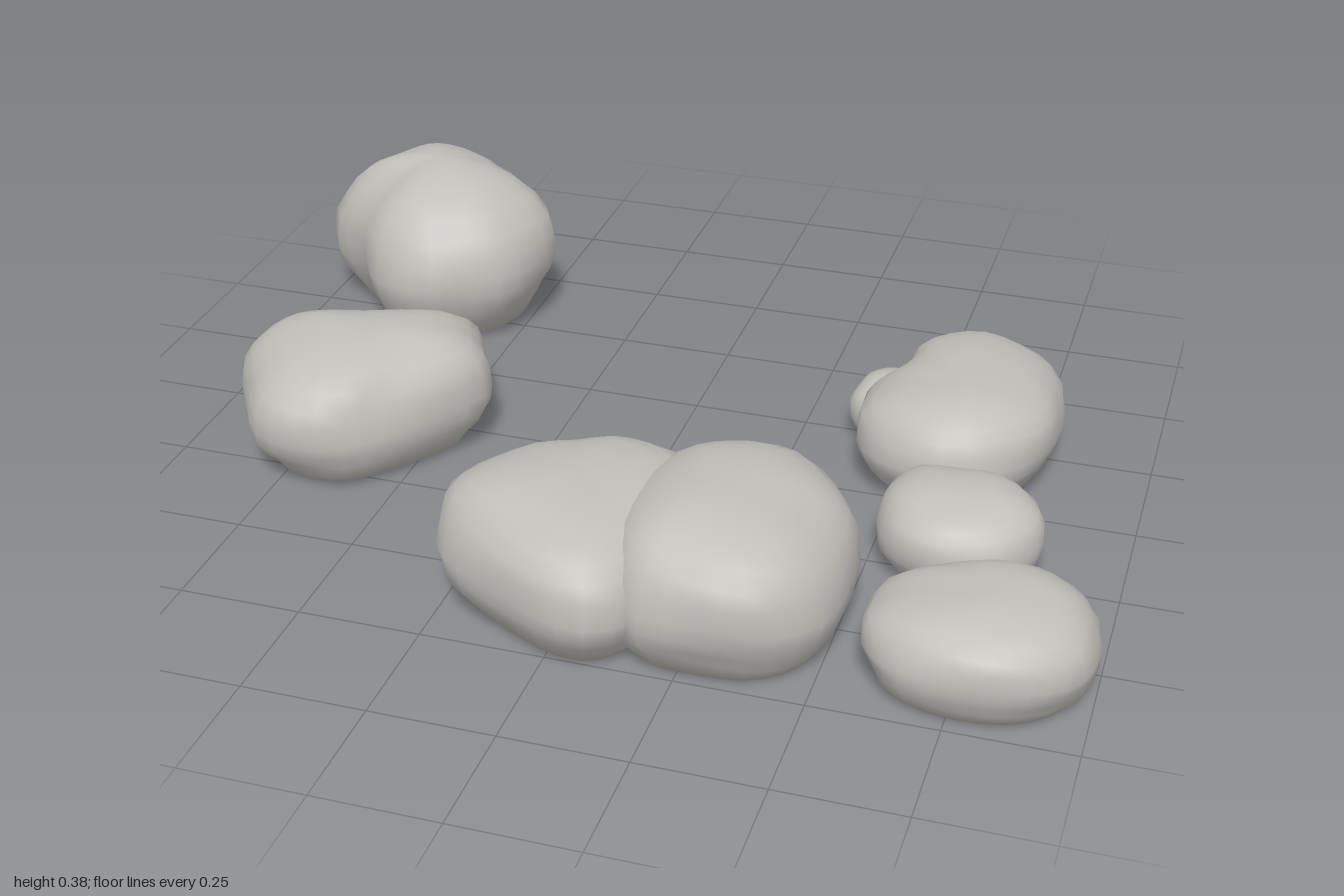
import * as THREE from 'three';

const stone = new THREE.MeshStandardMaterial({ color: 0xc0beb9 });
stone.name = 'paleStone';

const SEG = 32;          // points round each ring
const LOW = 4, HIGH = 7; // rings below and above the widest level
const FLOOR = 0.006;

// A boulder lofted from its plan outline [x, z] (clockwise seen from above).
// peak: [x, y, z] of the crown, mid: height of the widest level,
// power: squareness of the crown, foot: size of the flat base.
function boulder(name, outline, peak, mid, power, foot, seed) {
  const curve = new THREE.CatmullRomCurve3(
    outline.map(([x, z]) => new THREE.Vector3(x, 0, z)), true, 'centripetal');
  const plan = curve.getSpacedPoints(SEG).slice(0, SEG);
  const centre = plan.reduce((s, p) => s.add(p), new THREE.Vector3()).divideScalar(SEG);
  const crown = new THREE.Vector3(peak[0], 0, peak[2]);

  // Level table: scale of the outline, height, lumpiness
  const levels = [];
  for (let i = 0; i < LOW; i++) {
    const t = i / LOW;
    levels.push({ s: foot + (1 - foot) * Math.sin(t * Math.PI / 2), y: FLOOR + (mid - FLOOR) * t, top: false });
  }
  for (let i = 0; i < HIGH; i++) {
    const a = i / HIGH * Math.PI / 2;
    levels.push({
      s: Math.cos(a) ** (2 / power),
      y: mid + (peak[1] - mid) * Math.sin(a) ** (2 / power),
      top: true,
    });
  }

  const pos = [], index = [];
  levels.forEach(({ s, y, top }, j) => {
    plan.forEach((p, i) => {
      const a = i / SEG * Math.PI * 2;
      // Gentle dents, fading out at the widest level and the base
      const fade = j === 0 ? 0 : Math.min(1, Math.abs(j - LOW) / 2);
      const lump = 1 + fade * 0.035 * (Math.sin(a * 3 + seed + j * 0.6) + 0.6 * Math.sin(a * 5 - seed * 2 + j));
      const k = s * lump;
      const v = p.clone().sub(centre).multiplyScalar(k).add(centre);
      if (top) v.addScaledVector(crown.clone().sub(centre), 1 - s);
      // The widest level wanders up and down a little
      const wave = j === 0 ? 0 : 0.07 * mid * s * Math.sin(a * 2 + seed);
      pos.push(v.x, y + wave, v.z);
    });
  });
  const rings = levels.length, bottom = rings * SEG, tip = bottom + 1;
  pos.push(centre.x, 0, centre.z, peak[0], peak[1], peak[2]);

  for (let i = 0; i < SEG; i++) {
    const n = (i + 1) % SEG;
    for (let j = 0; j < rings - 1; j++) {
      const a = j * SEG + i, b = j * SEG + n;
      index.push(a, a + SEG, b + SEG, a, b + SEG, b);
    }
    const last = (rings - 1) * SEG;
    index.push(last + n, last + i, tip, i, n, bottom);
  }

  const geo = new THREE.BufferGeometry();
  geo.setAttribute('position', new THREE.Float32BufferAttribute(pos, 3));
  geo.setIndex(index);
  geo.computeVertexNormals();
  const mesh = new THREE.Mesh(geo, stone);
  mesh.name = name;
  return mesh;
}

export function createModel() {
  const group = new THREE.Group();
  group.name = 'boulders';

  group.add(
    // Tall round boulder at the back
    boulder('tallBoulder', [
      [-1, -0.55], [-0.94, -0.66], [-0.87, -0.78], [-0.77, -0.83], [-0.62, -0.79], [-0.55, -0.71], [-0.45, -0.60],
      [-0.45, -0.51], [-0.50, -0.39], [-0.57, -0.34], [-0.68, -0.29], [-0.80, -0.33], [-0.88, -0.44], [-0.96, -0.5],
    ], [-0.73, 0.375, -0.58], 0.165, 2.1, 0.7, 0.4),

    // Broad boulder on the right-hand side
    boulder('broadBoulder', [
      [-0.91, 0.13], [-0.90, 0.04], [-0.83, -0.02], [-0.70, -0.09], [-0.53, -0.13], [-0.45, -0.12], [-0.42, -0.05],
      [-0.37, 0.05], [-0.42, 0.15], [-0.52, 0.28], [-0.60, 0.35], [-0.70, 0.37], [-0.78, 0.34], [-0.85, 0.24],
    ], [-0.61, 0.28, 0.09], 0.125, 2.4, 0.74, 1.7),

    // Two large boulders pressed together at the front
    boulder('frontBoulderRight', [
      [-0.27, 0.59], [-0.26, 0.49], [-0.18, 0.35], [-0.10, 0.31], [0, 0.27], [0.10, 0.30], [0.20, 0.37],
      [0.24, 0.50], [0.23, 0.62], [0.18, 0.75], [0.13, 0.81], [0.05, 0.82], [-0.06, 0.78], [-0.20, 0.70], [-0.25, 0.65],
    ], [0, 0.282, 0.53], 0.13, 2.7, 0.74, 2.6),
    boulder('frontBoulderLeft', [
      [0.07, 0.52], [0.08, 0.40], [0.13, 0.28], [0.25, 0.257], [0.37, 0.27], [0.45, 0.33], [0.52, 0.42],
      [0.53, 0.51], [0.53, 0.60], [0.50, 0.70], [0.41, 0.77], [0.27, 0.785], [0.16, 0.77], [0.09, 0.65],
    ], [0.27, 0.307, 0.52], 0.14, 2.5, 0.78, 3.9),

    // Long boulder on the left, with a pebble set into its flank
    boulder('longBoulder', [
      [0.40, -0.13], [0.40, -0.20], [0.45, -0.30], [0.46, -0.37], [0.52, -0.44], [0.59, -0.475], [0.68, -0.45],
      [0.78, -0.37], [0.81, -0.17], [0.78, -0.04], [0.70, 0.05], [0.60, 0.085], [0.48, 0.05], [0.41, -0.03],
    ], [0.62, 0.235, -0.11], 0.11, 2.4, 0.76, 5.1),
    boulder('pebble', [
      [0.35, -0.24], [0.37, -0.30], [0.41, -0.345], [0.50, -0.34], [0.54, -0.25], [0.50, -0.17], [0.42, -0.165], [0.36, -0.20],
    ], [0.45, 0.15, -0.25], 0.075, 2.2, 0.7, 0.9),

    // Two small stones at the front left
    boulder('smallStone', [
      [0.51, 0.19], [0.54, 0.09], [0.60, 0.06], [0.70, 0.055], [0.77, 0.09], [0.84, 0.20],
      [0.83, 0.26], [0.77, 0.33], [0.67, 0.36], [0.57, 0.33], [0.52, 0.26],
    ], [0.67, 0.18, 0.2], 0.085, 2.4, 0.78, 2.1),
    boulder('cornerStone', [
      [0.57, 0.58], [0.575, 0.50], [0.64, 0.45], [0.74, 0.41], [0.90, 0.425], [0.98, 0.48],
      [1, 0.57], [0.98, 0.66], [0.90, 0.73], [0.77, 0.755], [0.65, 0.73], [0.58, 0.66],
    ], [0.83, 0.2, 0.56], 0.095, 2.4, 0.8, 4.4),
  );
  return group;
}
